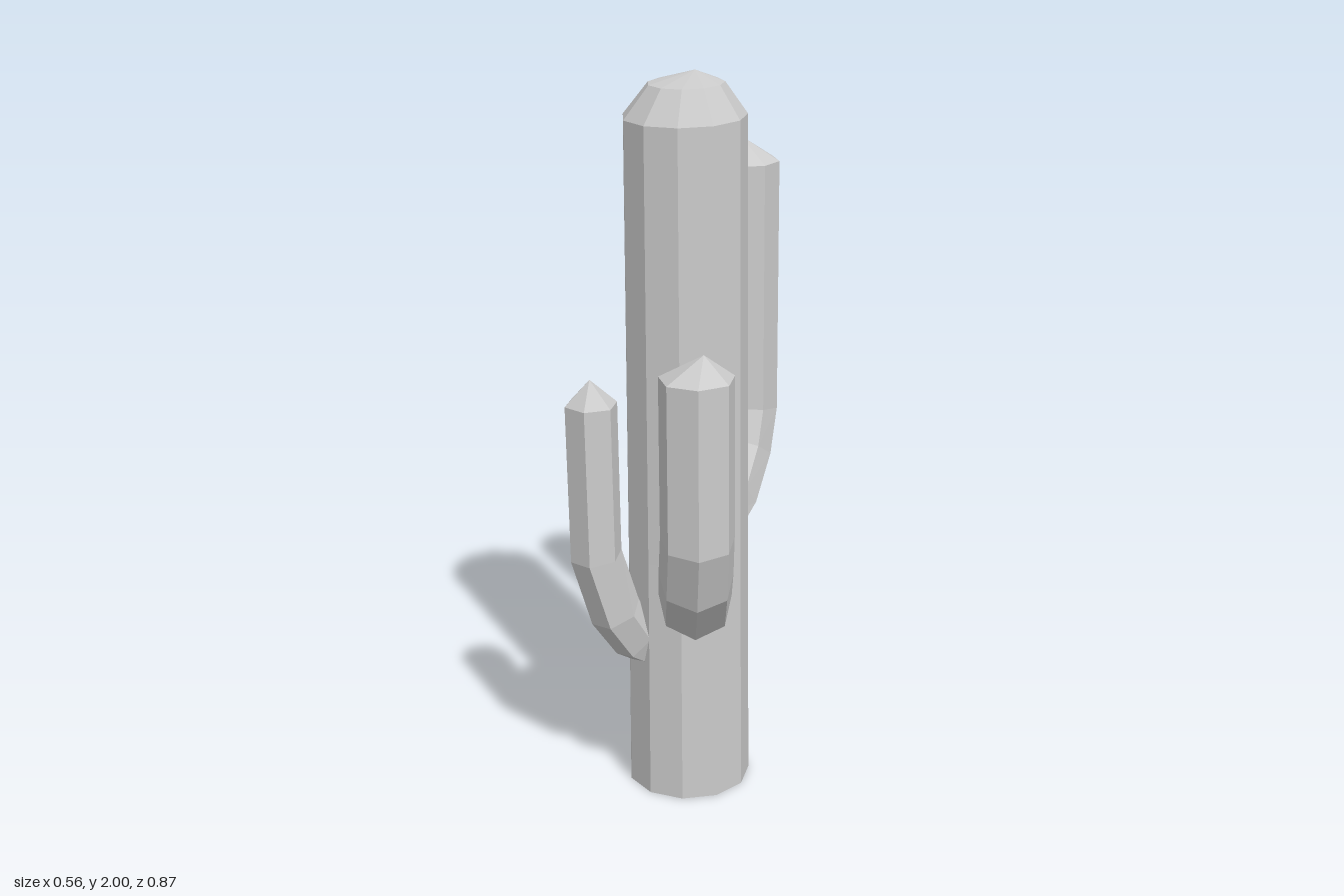
import * as THREE from 'three';

const material = new THREE.MeshStandardMaterial({ color: 0xcccccc, flatShading: true });

// Lofts rings [x, y, z, radius] along a path lying in one vertical plane.
// The path starts with a flat cap and ends in a point at the tip.
function stem(name, rings, tip, sides, phase) {
  const centers = rings.map(r => new THREE.Vector3(r[0], r[1], r[2]));
  const first = centers[0], last = centers[centers.length - 1];
  const lean = new THREE.Vector3(last.x - first.x, 0, last.z - first.z);
  if (lean.lengthSq() < 0.001) lean.set(0, 0, 1);
  lean.normalize();
  const across = new THREE.Vector3(0, 1, 0).cross(lean);
  const positions = [], index = [];

  rings.forEach((ring, i) => {
    // Each ring is mitred between the segments that meet at it
    const before = centers[i].clone().sub(centers[Math.max(i - 1, 0)]).normalize();
    const after = i < rings.length - 1
      ? centers[i + 1].clone().sub(centers[i]).normalize() : new THREE.Vector3(0, 1, 0);
    const tangent = before.add(after).normalize();
    const normal = tangent.clone().cross(across);
    for (let k = 0; k < sides; k++) {
      const a = (k + phase) / sides * Math.PI * 2;
      const p = centers[i].clone()
        .addScaledVector(across, Math.cos(a) * ring[3])
        .addScaledVector(normal, Math.sin(a) * ring[3]);
      positions.push(p.x, p.y, p.z);
    }
  });

  const tipIndex = rings.length * sides, baseIndex = tipIndex + 1;
  positions.push(...tip, ...first.toArray());
  const top = (rings.length - 1) * sides;
  for (let k = 0; k < sides; k++) {
    const n = (k + 1) % sides;
    for (let i = 0; i < rings.length - 1; i++) {
      const a = i * sides + k, b = i * sides + n;
      index.push(a, b, b + sides, a, b + sides, a + sides);
    }
    index.push(top + k, top + n, tipIndex, n, k, baseIndex);
  }

  // across x normal = tangent, so increasing angle is counter-clockwise
  const geometry = new THREE.BufferGeometry();
  geometry.setAttribute('position', new THREE.Float32BufferAttribute(positions, 3));
  geometry.setIndex(index);
  const flat = geometry.toNonIndexed();
  flat.computeVertexNormals();
  const mesh = new THREE.Mesh(flat, material);
  mesh.name = name;
  return mesh;
}

export function createModel() {
  const group = new THREE.Group();
  group.name = 'cactus';

  // Thick, slightly tapering trunk with a domed top
  group.add(stem('trunk', [
    [-0.08, 0, 0.055, 0.173],
    [-0.08, 0.7, 0.055, 0.168],
    [-0.08, 1.89, 0.055, 0.163],
    [-0.07, 1.975, 0.06, 0.1],
  ], [-0.08, 2, 0.01], 11, 0.25));

  // Tall arm at the back
  group.add(stem('backArm', [
    [-0.1, 0.68, 0.0, 0.09],
    [-0.12, 0.71, -0.09, 0.092],
    [-0.14, 0.765, -0.19, 0.097],
    [-0.17, 0.87, -0.29, 0.1],
    [-0.183, 0.985, -0.335, 0.1],
    [-0.183, 1.7, -0.335, 0.1],
  ], [-0.19, 1.77, -0.325], 8, 0.3));

  // Medium arm at the front left
  group.add(stem('frontLeftArm', [
    [-0.04, 0.575, 0.1, 0.08],
    [0.02, 0.595, 0.16, 0.092],
    [0.085, 0.635, 0.228, 0.1],
    [0.15, 0.745, 0.305, 0.1],
    [0.183, 0.875, 0.34, 0.098],
    [0.183, 1.31, 0.34, 0.098],
  ], [0.205, 1.375, 0.34], 7, 0.2));

  // Small thin arm at the front right
  group.add(stem('frontRightArm', [
    [-0.125, 0.4, 0.13, 0.06],
    [-0.145, 0.46, 0.21, 0.068],
    [-0.16, 0.555, 0.27, 0.072],
    [-0.185, 0.73, 0.315, 0.071],
    [-0.188, 1.16, 0.318, 0.071],
  ], [-0.185, 1.23, 0.325], 6, 0.25));

  return group;
}
